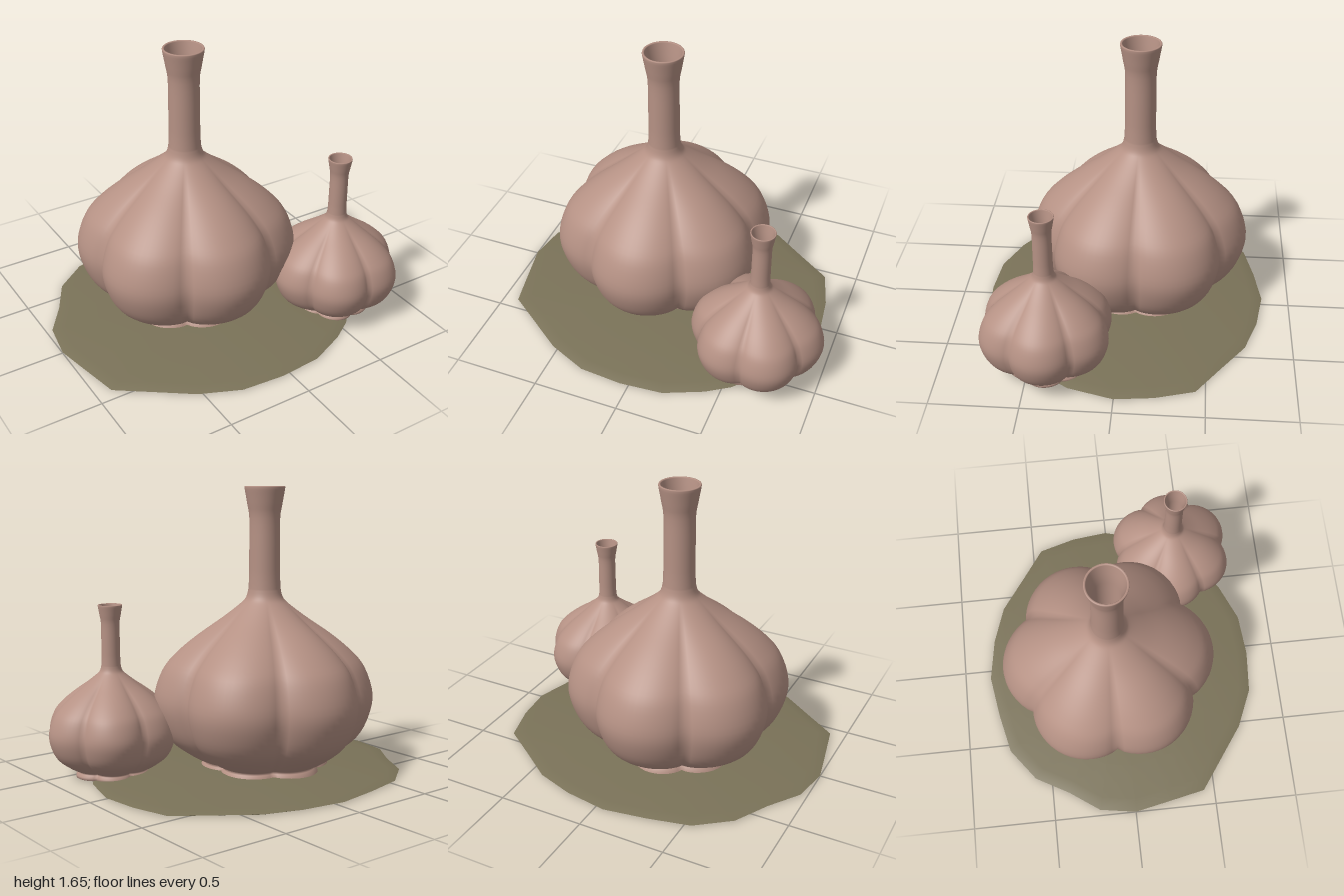
import * as THREE from 'three';
import { mergeVertices } from 'three/addons/utils/BufferGeometryUtils.js';

const clay = new THREE.MeshStandardMaterial({ color: 0xb59184 });
clay.name = 'clay';
const olive = new THREE.MeshStandardMaterial({ color: 0x7a7258 });
olive.name = 'olive';

const LOBES = 6;
const vec = ([x, y]) => new THREE.Vector2(x, y);

// Six-lobed bottle: a lathe whose body is pinched along grooves
function gourdGeometry() {
  const foot = [[0, 0.003], [0.36, 0.003], [0.375, 0.01], [0.378, 0.035], [0.355, 0.055]];
  const body = new THREE.SplineCurve([
    [0.35, 0.065], [0.43, 0.105], [0.555, 0.2], [0.62, 0.32], [0.64, 0.45], [0.592, 0.6],
    [0.51, 0.7], [0.39, 0.8], [0.245, 0.9], [0.14, 0.98], [0.105, 1.02], [0.092, 1.07],
  ].map(vec)).getPoints(44);
  const neck = new THREE.SplineCurve([
    [0.089, 1.14], [0.088, 1.3], [0.088, 1.47], [0.1, 1.55], [0.114, 1.63],
  ].map(vec)).getPoints(14);
  const mouth = [[0.116, 1.645], [0.114, 1.65], [0.106, 1.65], [0.103, 1.645], [0.09, 1.57],
    [0.077, 1.48], [0.074, 1.2], [0.06, 1.1], [0, 1.09]];
  const profile = [...foot.map(vec), ...body, ...neck, ...mouth.map(vec)];

  const lathe = new THREE.LatheGeometry(profile, 96);
  const p = lathe.attributes.position;
  for (let i = 0; i < p.count; i++) {
    const x = p.getX(i), y = p.getY(i), z = p.getZ(i);
    const lobe = Math.pow(Math.abs(Math.cos(Math.atan2(x, z) * LOBES / 2)), 0.8);
    const depth = 0.14 * (1 - THREE.MathUtils.smoothstep(y, 0.8, 1.03));
    const s = 1 - depth * (1 - lobe);
    p.setXYZ(i, x * s, y, z * s);
  }
  // weld the seam so the shading runs round smoothly
  lathe.deleteAttribute('normal');
  lathe.deleteAttribute('uv');
  const geo = mergeVertices(lathe, 1e-5);
  geo.computeVertexNormals();
  return geo;
}

// Irregular thin dish, highest in the middle
function dishGeometry() {
  const rim = [
    [-0.05, -0.84], [0.2, -0.8], [0.42, -0.725], [0.62, -0.58], [0.81, -0.445], [0.875, -0.22],
    [0.9, 0], [0.83, 0.26], [0.71, 0.44], [0.55, 0.63], [0.42, 0.715], [0.2, 0.81],
    [-0.05, 0.83], [-0.3, 0.81], [-0.53, 0.71], [-0.73, 0.565], [-0.91, 0.435], [-0.955, 0.22],
    [-1, 0], [-0.965, -0.22], [-0.84, -0.4], [-0.73, -0.6], [-0.54, -0.745], [-0.3, -0.8],
  ];
  const n = rim.length, cx = -0.05;
  // rings of [scale, height] from underside rim to crown
  const rings = [[0.985, 0], [1, 0.005], [0.92, 0.014], [0.7, 0.028], [0.45, 0.04], [0.2, 0.045]];
  const pos = [], index = [];
  for (const [s, y] of rings)
    for (const [x, z] of rim) pos.push(cx + (x - cx) * s, y, z * s);
  const crown = pos.length / 3;
  pos.push(cx, 0.046, 0);
  for (let i = 0; i < n; i++) {
    const j = (i + 1) % n;
    for (let r = 0; r < rings.length - 1; r++) {
      const a = r * n + i, b = r * n + j;
      index.push(a, a + n, b, b, a + n, b + n);
    }
    const t = (rings.length - 1) * n;
    index.push(t + i, crown, t + j);
  }
  // flat underside with its own vertices
  const under = crown + 1;
  for (const [x, z] of rim) pos.push(cx + (x - cx) * 0.985, 0, z * 0.985);
  const hub = pos.length / 3;
  pos.push(cx, 0, 0);
  for (let i = 0; i < n; i++) index.push(under + i, under + (i + 1) % n, hub);

  const geo = new THREE.BufferGeometry();
  geo.setAttribute('position', new THREE.Float32BufferAttribute(pos, 3));
  geo.setIndex(index);
  geo.computeVertexNormals();
  return geo;
}

export function createModel() {
  const model = new THREE.Group();
  model.name = 'gourdBottlesOnDish';

  const dish = new THREE.Mesh(dishGeometry(), olive);
  dish.name = 'dish';
  model.add(dish);

  const geo = gourdGeometry();
  const addBottle = (name, x, z, scale, turn) => {
    const bottle = new THREE.Mesh(geo, clay);
    bottle.name = name;
    bottle.position.set(x, 0, z);
    bottle.scale.setScalar(scale);
    bottle.rotation.y = turn;
    model.add(bottle);
  };
  addBottle('largeBottle', -0.13, -0.08, 1, 0);
  addBottle('smallBottle', 0.615, 0.395, 0.597, Math.PI / 2);
  return model;
}
